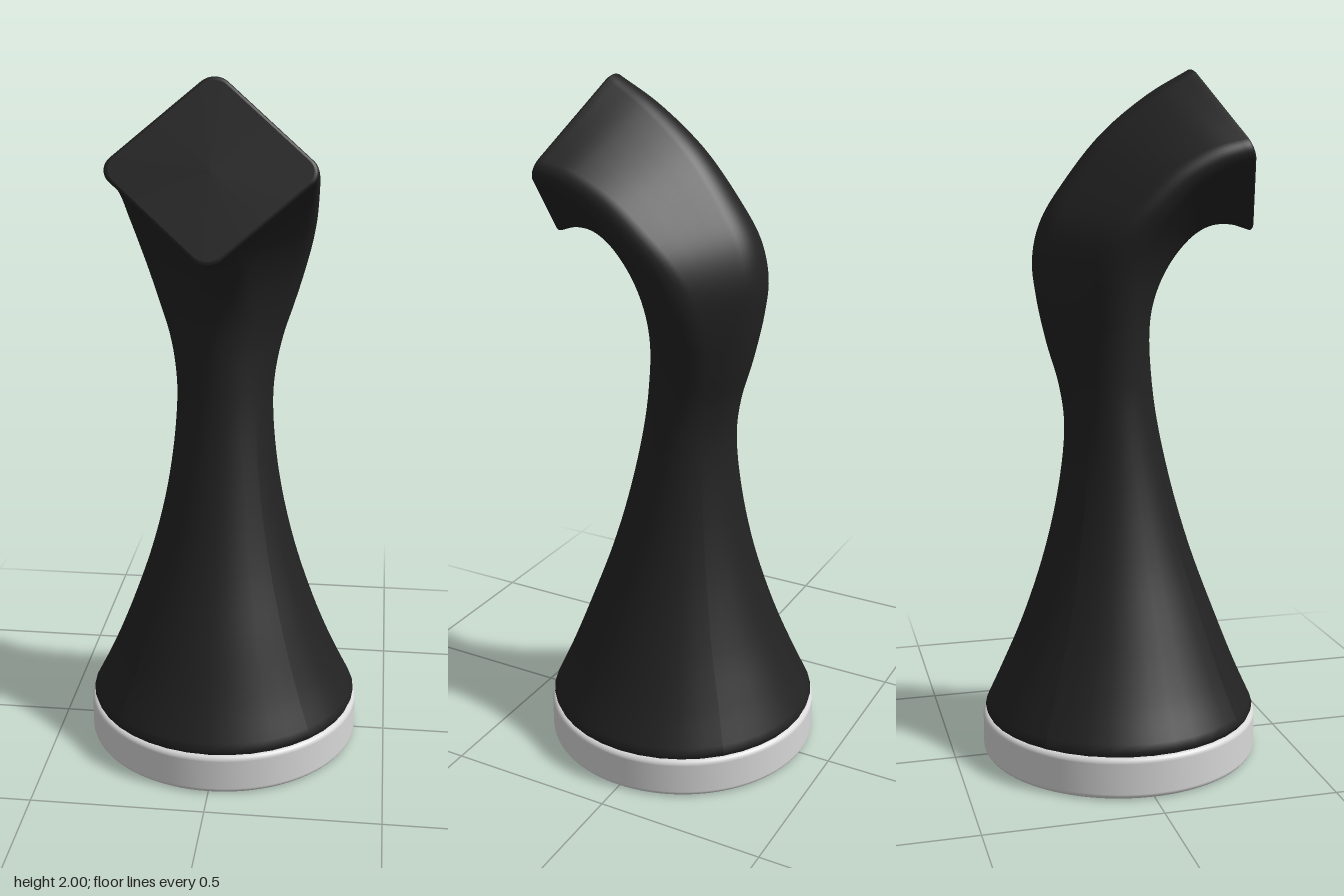
import * as THREE from 'three';

// Body sections from foot to face:
// [front z, front y, back z, back y, half width, roundness (1 = ellipse, 0 = diamond)]
const SECTIONS = [
  [0.402, 0.135, -0.402, 0.135, 0.402, 1],
  [0.35, 0.25, -0.35, 0.25, 0.345, 1],
  [0.29, 0.4, -0.287, 0.4, 0.283, 1],
  [0.215, 0.6, -0.222, 0.6, 0.215, 1],
  [0.155, 0.8, -0.178, 0.8, 0.168, 1],
  [0.11, 1.0, -0.16, 0.98, 0.144, 0.95],
  [0.093, 1.13, -0.175, 1.1, 0.143, 0.87],
  [0.087, 1.25, -0.212, 1.23, 0.165, 0.75],
  [0.096, 1.33, -0.24, 1.36, 0.198, 0.64],
  [0.125, 1.41, -0.25, 1.47, 0.226, 0.54],
  [0.17, 1.48, -0.225, 1.575, 0.248, 0.45],
  [0.225, 1.533, -0.16, 1.68, 0.262, 0.37],
  [0.28, 1.557, -0.05, 1.815, 0.27, 0.3],
  [0.34, 1.558, 0.085, 1.925, 0.275, 0.24],
  [0.395, 1.542, 0.205, 1.995, 0.276, 0.18],
];

// Unit outline that blends from a circle to a diamond with rounded corners
function outline(r) {
  const corners = [];
  for (let k = 0; k < 4; k++) {
    const mid = k * Math.PI / 2;
    for (let i = 0; i <= 10; i++) {
      const a = mid + (i / 10 - 0.5) * Math.PI / 2;
      corners.push([(1 - r) * Math.cos(mid) + r * Math.cos(a), (1 - r) * Math.sin(mid) + r * Math.sin(a)]);
    }
  }
  // add points along the flat sides
  const pts = [];
  corners.forEach((p, i) => {
    pts.push(p);
    if (i % 11 === 10) {
      const q = corners[(i + 1) % corners.length];
      for (const t of [0.25, 0.5, 0.75]) pts.push([p[0] + (q[0] - p[0]) * t, p[1] + (q[1] - p[1]) * t]);
    }
  });
  return pts;
}

function bodyGeometry() {
  // x carries the half width on one curve and the roundness on the other
  const front = new THREE.CatmullRomCurve3(SECTIONS.map(s => new THREE.Vector3(s[4], s[1], s[0])));
  const back = new THREE.CatmullRomCurve3(SECTIONS.map(s => new THREE.Vector3(s[5], s[3], s[2])));
  const positions = [], indices = [];
  const n = outline(1).length;
  let rings = 0;

  const addRing = (f, b, inset = 0, push = 0) => {
    const cy = (f.y + b.y) / 2, cz = (f.z + b.z) / 2;
    const hy = (f.y - b.y) / 2, hz = (f.z - b.z) / 2;
    const half = Math.hypot(hy, hz);
    const k = 1 - inset / half;
    const ny = hz / half * push, nz = -hy / half * push;
    for (const [u, v] of outline(THREE.MathUtils.clamp(b.x, 0.05, 1))) {
      positions.push(u * (f.x - inset), cy + hy * v * k + ny, cz + hz * v * k + nz);
    }
    rings++;
  };

  // small rounded foot edge, swept body, softened face edge
  const f0 = front.getPoint(0), b0 = back.getPoint(0);
  addRing(f0, b0, 0.03, -0.02);
  addRing(f0, b0, 0.006, -0.016);
  const steps = 84;
  for (let i = 0; i <= steps; i++) addRing(front.getPoint(i / steps), back.getPoint(i / steps));
  const f1 = front.getPoint(1), b1 = back.getPoint(1);
  addRing(f1, b1, 0.002, 0.005);
  addRing(f1, b1, 0.006, 0.008);
  addRing(f1, b1, 0.012, 0.009);

  for (let i = 0; i < rings - 1; i++) {
    for (let j = 0; j < n; j++) {
      const a = i * n + j, b = i * n + (j + 1) % n;
      indices.push(a, a + n, b, b, a + n, b + n);
    }
  }

  // flat face closing the head
  addRing(f1, b1, 0.012, 0.009);
  const start = (rings - 1) * n, centre = rings * n;
  const h = start * 3;
  const c = [0, 0, 0];
  for (let j = 0; j < n; j++) for (let k = 0; k < 3; k++) c[k] += positions[h + j * 3 + k] / n;
  positions.push(...c);
  for (let j = 0; j < n; j++) indices.push(centre, start + (j + 1) % n, start + j);

  const g = new THREE.BufferGeometry();
  g.setAttribute('position', new THREE.Float32BufferAttribute(positions, 3));
  g.setIndex(indices);
  g.computeVertexNormals();
  return g;
}

// Disc with rounded rims
function baseGeometry() {
  const r = 0.409, top = 0.121, e = 0.016;
  const shape = new THREE.Path();
  shape.moveTo(0, 0);
  shape.lineTo(r - e - 0.002, 0);
  shape.lineTo(r - e, 0);
  shape.absarc(r - e, e, e, -Math.PI / 2, 0, false);
  shape.lineTo(r, top - e);
  shape.absarc(r - e, top - e, e, 0, Math.PI / 2, false);
  shape.lineTo(r - e - 0.002, top);
  shape.lineTo(0, top);
  return new THREE.LatheGeometry(shape.getPoints(6), 96);
}

export function createModel() {
  const black = new THREE.MeshStandardMaterial({ color: 0x222222 });
  black.name = 'black';
  const white = new THREE.MeshStandardMaterial({ color: 0xd8d8d8 });
  white.name = 'white';

  const group = new THREE.Group();
  group.name = 'chessPiece';

  const body = new THREE.Mesh(bodyGeometry(), black);
  body.name = 'body';
  const base = new THREE.Mesh(baseGeometry(), white);
  base.name = 'base';
  group.add(body, base);
  return group;
}
